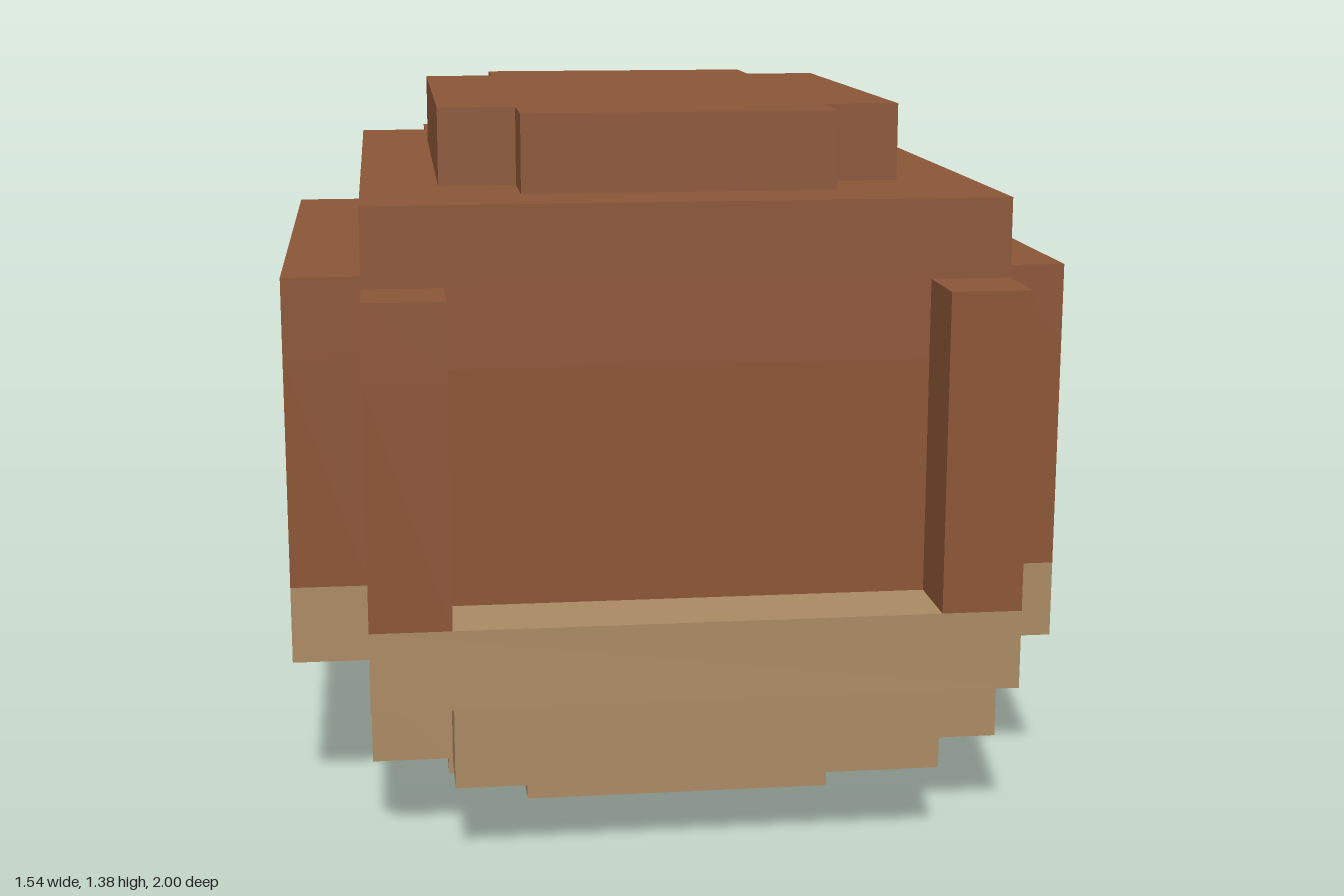
import * as THREE from 'three';

const U = 2 / 13; // edge of one block; the model is 10 x 9 x 13 blocks

// Extrude a mirrored outline upwards. Points are [x, z] in blocks on the +x half,
// running from back (z = 0) to front (z = 13).
function layer(name, half, y0, y1, material) {
  const right = half.map(([x, z]) => new THREE.Vector2(x * U, (6.5 - z) * U));
  const left = right.map(p => new THREE.Vector2(-p.x, p.y)).reverse();
  const geometry = new THREE.ExtrudeGeometry(new THREE.Shape([...right, ...left]), {
    depth: (y1 - y0) * U,
    bevelEnabled: false,
  });
  geometry.rotateX(-Math.PI / 2);
  geometry.translate(0, y0 * U, 0);
  const mesh = new THREE.Mesh(geometry, material);
  mesh.name = name;
  return mesh;
}

export function createModel() {
  const brown = new THREE.MeshStandardMaterial({ name: 'brown', color: 0x8b5535 });
  const tan = new THREE.MeshStandardMaterial({ name: 'tan', color: 0xab8a64 });

  // Stepped plate shared by the top and the bottom
  const cap = [[2, 3], [2, 4], [3, 4], [3, 10], [2, 10], [2, 11]];
  // Side panels and front cheek posts around the recessed face
  const flank = [[4, 1], [4, 3], [5, 3], [5, 11], [4, 11], [4, 13]];
  const face = [[3, 13], [3, 12]];

  const group = new THREE.Group();
  group.name = 'blockyHead';
  group.add(
    // Pale lower part
    layer('bottomPlate', cap, 0, 1, tan),
    layer('chin', [[3, 1], [3, 2], [4, 2], [4, 12], [3, 12], [3, 13]], 1, 2, tan),
    layer('jaw', flank, 2, 3, tan),
    // Dark upper part, with the back panel narrowing at its top
    layer('middle', [[3, 0], [3, 1], ...flank, ...face], 3, 6, brown),
    layer('upperMiddle', [[2, 0], [2, 1], ...flank, ...face], 6, 7, brown),
    layer('crown', [[3, 1], [3, 2], [4, 2], [4, 12]], 7, 8, brown),
    layer('topPlate', cap, 8, 9, brown),
  );
  return group;
}
